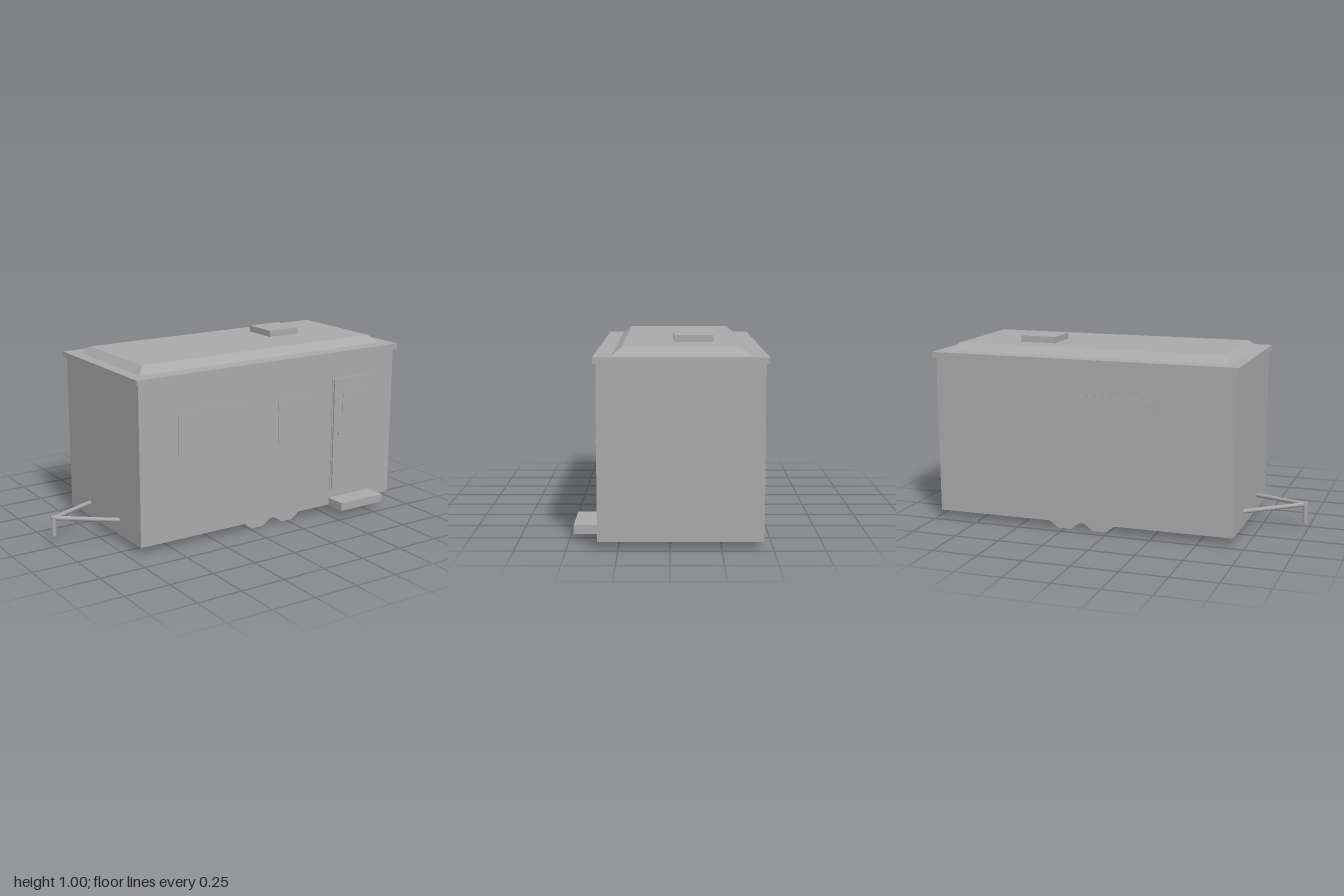
import * as THREE from 'three';

const grey = new THREE.MeshStandardMaterial({ color: 0xaaaaaa });
grey.name = 'grey';

export function createModel() {
  const model = new THREE.Group();
  model.name = 'siteTrailer';

  const add = (name, geometry) => {
    const mesh = new THREE.Mesh(geometry, grey);
    mesh.name = name;
    model.add(mesh);
    return mesh;
  };

  // Box given by its limits on each axis
  const box = (name, x0, x1, y0, y1, z0, z1) => {
    const mesh = add(name, new THREE.BoxGeometry(x1 - x0, y1 - y0, z1 - z0));
    mesh.position.set((x0 + x1) / 2, (y0 + y1) / 2, (z0 + z1) / 2);
    return mesh;
  };

  // Round bar between two points
  const bar = (name, a, b, radius) => {
    const dir = b.clone().sub(a);
    const mesh = add(name, new THREE.CylinderGeometry(radius, radius, dir.length(), 8));
    mesh.position.copy(a).add(b).multiplyScalar(0.5);
    mesh.quaternion.setFromUnitVectors(new THREE.Vector3(0, 1, 0), dir.normalize());
  };

  // Cabin and roof
  box('cabin', -0.685, 0.98, 0.04, 0.9, -0.455, 0.35);
  box('roofSlab', -0.7, 0.997, 0.9, 0.93, -0.47, 0.365);

  // Raised roof: a box whose top corners are drawn inwards
  const raised = box('raisedRoof', -0.635, 0.93, 0.93, 0.97, -0.39, 0.28);
  const pos = raised.geometry.attributes.position;
  for (let i = 0; i < pos.count; i++) {
    if (pos.getY(i) > 0) {
      pos.setX(i, pos.getX(i) - Math.sign(pos.getX(i)) * 0.04);
      pos.setZ(i, pos.getZ(i) - Math.sign(pos.getZ(i)) * 0.05);
    }
  }
  raised.geometry.computeVertexNormals();
  box('roofVent', 0.38, 0.58, 0.97, 1.005, -0.22, -0.02);

  // Door
  box('doorFrame', 0.545, 0.812, 0.13, 0.78, 0.35, 0.354);
  box('door', 0.553, 0.806, 0.137, 0.775, 0.354, 0.362);
  box('doorWindow', 0.613, 0.755, 0.57, 0.69, 0.362, 0.365);
  box('doorHandle', 0.575, 0.587, 0.459, 0.47, 0.37, 0.382);
  box('step', 0.535, 0.83, 0.04, 0.085, 0.357, 0.475);

  // Windows
  box('largeWindow', -0.457, -0.052, 0.5, 0.735, 0.35, 0.354);
  box('smallWindow', 0.176, 0.383, 0.434, 0.704, 0.35, 0.354);
  box('backWindow', -0.25, 0.155, 0.5, 0.735, -0.459, -0.455);

  // Wheels, ten-sided with a flat side down
  const wheel = new THREE.CylinderGeometry(0.115, 0.115, 0.065, 10);
  wheel.rotateY(Math.PI / 10).rotateX(Math.PI / 2);
  wheel.computeBoundingBox();
  for (const x of [0.052, 0.25]) {
    for (const z of [0.3075, -0.4125]) {
      add('wheel', wheel).position.set(x, -wheel.boundingBox.min.y, z);
    }
  }

  // Tow hitch
  const tip = new THREE.Vector3(-0.985, 0.14, -0.055);
  for (const side of [1, -1]) {
    bar('hitchBar', tip, new THREE.Vector3(-0.66, 0.118, -0.055 + side * 0.18), 0.012);
  }
  bar('hitchPost', new THREE.Vector3(-0.985, 0.04, -0.055), new THREE.Vector3(-0.985, 0.15, -0.055), 0.014);

  return model;
}
